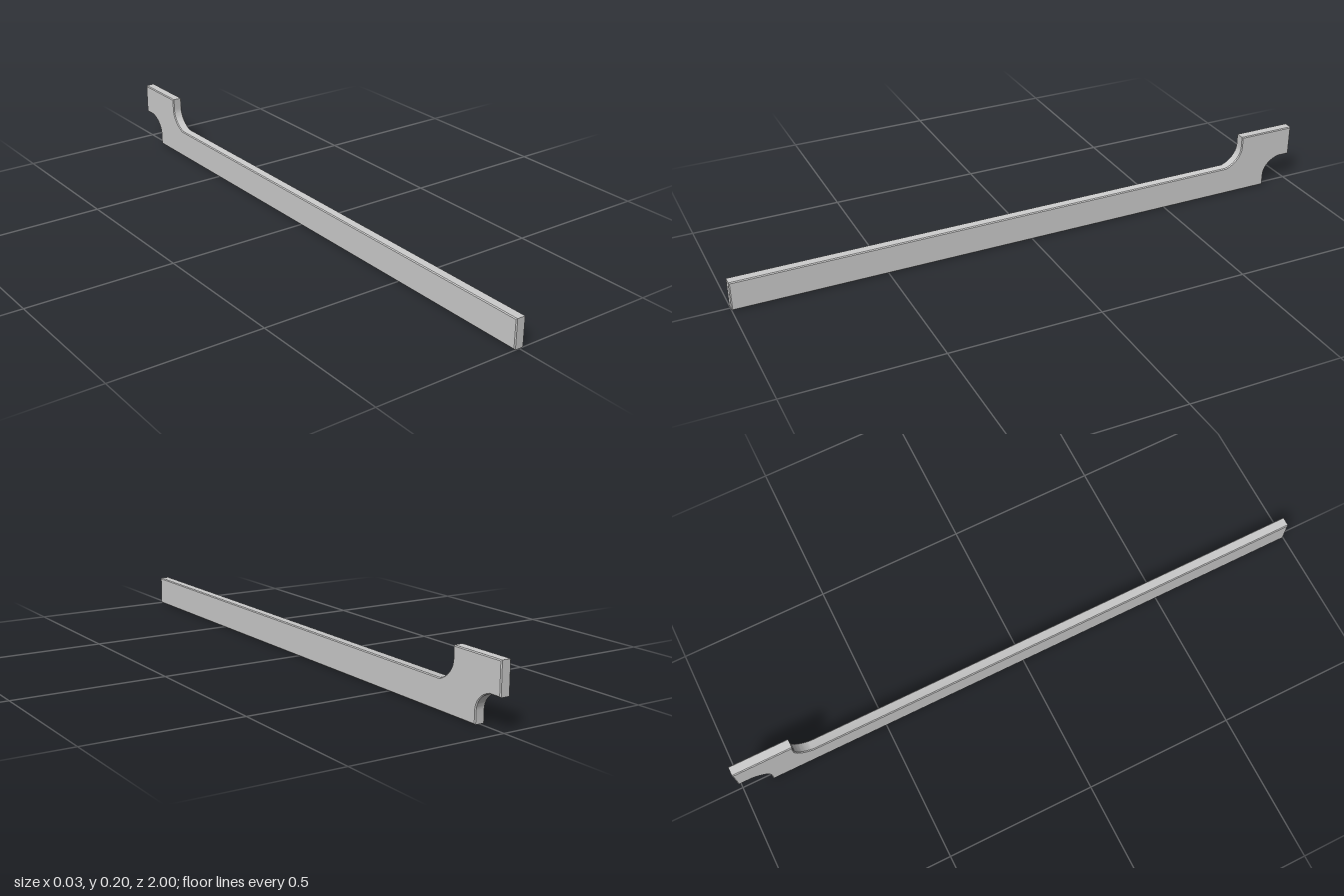
import * as THREE from 'three';
import { toCreasedNormals } from 'three/addons/utils/BufferGeometryUtils.js';

const WIDTH = 0.034;
const BEVEL = 0.003;

export function createModel() {
  const group = new THREE.Group();
  group.name = 'notchedBeam';

  // Side profile: shape x runs along the beam (+z), shape y is height
  const profile = new THREE.Shape();
  profile.moveTo(1, 0);
  profile.lineTo(1, 0.097);
  profile.lineTo(-0.742, 0.097);
  profile.bezierCurveTo(-0.775, 0.108, -0.8, 0.135, -0.8, 0.167); // upper cove
  profile.lineTo(-0.8, 0.203);
  profile.lineTo(-1, 0.203);
  profile.lineTo(-1, 0.1);
  profile.lineTo(-0.957, 0.1);
  profile.bezierCurveTo(-0.925, 0.092, -0.902, 0.07, -0.9, 0.04); // lower cove
  profile.lineTo(-0.9, 0);
  profile.closePath();

  // Thin plank with softly eased edges
  const geometry = new THREE.ExtrudeGeometry(profile, {
    depth: WIDTH - 2 * BEVEL,
    curveSegments: 14,
    bevelEnabled: true,
    bevelThickness: BEVEL,
    bevelSize: BEVEL,
    bevelOffset: -BEVEL,
    bevelSegments: 1,
  });
  geometry.translate(0, 0, -(WIDTH - 2 * BEVEL) / 2);
  geometry.rotateY(-Math.PI / 2);

  const beam = new THREE.Mesh(
    toCreasedNormals(geometry, Math.PI / 6),
    new THREE.MeshStandardMaterial({ color: 0xcccccc })
  );
  beam.name = 'beam';
  group.add(beam);
  return group;
}
